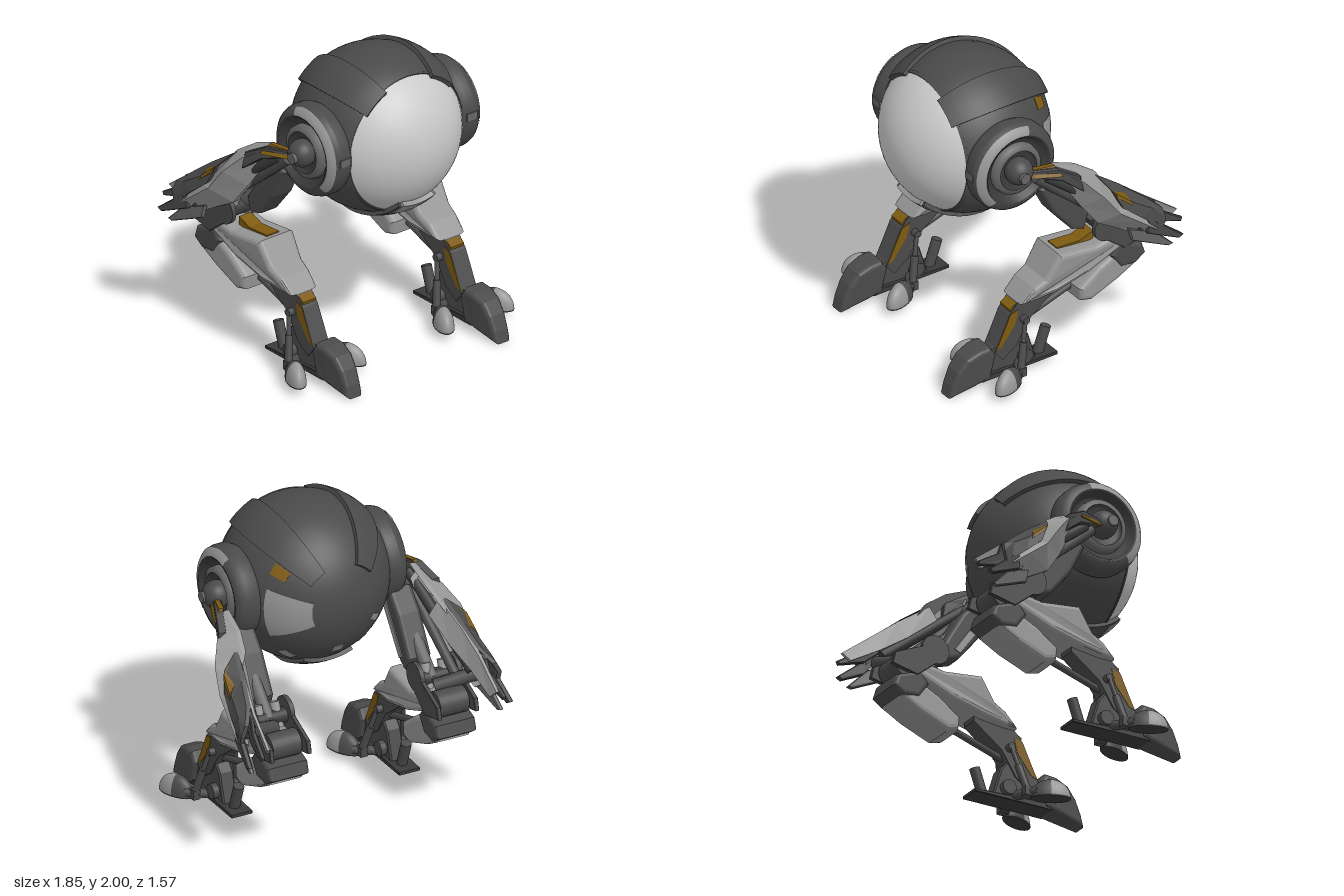
import * as THREE from 'three';

const mat = (name, color) => {
  const m = new THREE.MeshStandardMaterial({ color });
  m.name = name;
  return m;
};
const DARK = mat('dark grey', 0x4a4a4a), DEEP = mat('charcoal', 0x3a3a3a), LIGHT = mat('light grey', 0x969696),
  MID = mat('mid grey', 0x666666), LENS = mat('pale lens', 0xc8c8c8), GOLD = mat('ochre', 0x7d5a10);
const V = (x, y, z) => new THREE.Vector3(x, y, z);
const CX = 0.585; // centre line of a lower leg

function add(group, name, geo, material) {
  const m = new THREE.Mesh(geo, material);
  m.name = name;
  group.add(m);
  return m;
}

function warp(geo, rule) {
  const p = geo.attributes.position, v = V(0, 0, 0);
  for (let i = 0; i < p.count; i++) {
    rule(v.fromBufferAttribute(p, i));
    p.setXYZ(i, v.x, v.y, v.z);
  }
  geo.computeVertexNormals();
  return geo;
}

// Side outline given as [z, y], extruded from x0 to x1
function slab(pts, x0, x1, bevel = 0.01, rule = null) {
  const shape = new THREE.Shape(pts.map(([z, y]) => new THREE.Vector2(-z, y)));
  const geo = new THREE.ExtrudeGeometry(shape, {
    depth: x1 - x0 - 2 * bevel, bevelEnabled: bevel > 0, bevelThickness: bevel,
    bevelSize: bevel, bevelOffset: -bevel, bevelSegments: bevel > 0.02 ? 3 : 1, steps: 1,
  });
  geo.translate(0, 0, x0 + bevel).rotateY(Math.PI / 2);
  return rule ? warp(geo, rule) : geo;
}

// Bent plate: stations run rearwards, each a row of [x, y, z] from top to bottom
function bentPlate(stations, thick) {
  const loops = stations.map(row => [...row, ...row.map(([x, y, z]) => [x - thick, y, z]).reverse()]);
  const n = loops[0].length, h = n / 2, out = [];
  const quad = (a, b, c, d) => out.push(...a, ...b, ...c, ...c, ...b, ...d);
  for (let i = 0; i < loops.length - 1; i++) {
    for (let j = 0; j < n; j++) {
      const k = (j + 1) % n;
      quad(loops[i][j], loops[i][k], loops[i + 1][j], loops[i + 1][k]);
    }
  }
  const first = loops[0], last = loops[loops.length - 1];
  for (let j = 0; j < h - 1; j++) {
    quad(first[j], first[n - 1 - j], first[j + 1], first[n - 2 - j]);
    quad(last[j], last[j + 1], last[n - 1 - j], last[n - 2 - j]);
  }
  const geo = new THREE.BufferGeometry();
  geo.setAttribute('position', new THREE.Float32BufferAttribute(out, 3));
  geo.computeVertexNormals();
  return geo;
}

// Round bar between two points
function rod(a, b, r0, r1 = r0, sides = 14) {
  const d = b.clone().sub(a);
  const geo = new THREE.CylinderGeometry(r1, r0, d.length(), sides);
  geo.applyQuaternion(new THREE.Quaternion().setFromUnitVectors(V(0, 1, 0), d.normalize()));
  const c = a.clone().add(b).multiplyScalar(0.5);
  return geo.translate(c.x, c.y, c.z);
}
const axle = (x0, x1, y, z, r) => rod(V(x0, y, z), V(x1, y, z), r, r, 24);

// Thick patch of a sphere whose pole points forward; angles in degrees
function patch(p0, p1, t0, t1, r0, r1) {
  const nx = Math.max(2, Math.ceil((p1 - p0) / 6)), ny = Math.max(2, Math.ceil((t1 - t0) / 6));
  const k = Math.PI / 180;
  return warp(new THREE.BoxGeometry(1, 1, 1, nx, ny, 1), v => {
    const p = (p0 + (v.x + 0.5) * (p1 - p0)) * k, t = (t1 - (v.y + 0.5) * (t1 - t0)) * k;
    const r = r0 + (v.z + 0.5) * (r1 - r0);
    v.set(r * Math.sin(t) * Math.cos(p), r * Math.sin(t) * Math.sin(p), r * Math.cos(t));
  });
}

function createBody() {
  const g = new THREE.Group();
  g.name = 'body';
  g.position.set(-0.005, 1.47, 0.255);
  add(g, 'frontLens', new THREE.SphereGeometry(0.528, 64, 40), LENS);
  const shell = new THREE.SphereGeometry(0.531, 64, 36, 0, Math.PI * 2, 1.0, Math.PI - 1.0);
  add(g, 'shell', shell.rotateX(Math.PI / 2), DARK);
  add(g, 'shellRim', patch(0, 360, 57, 59, 0.5, 0.536), DARK);
  // Raised bands over the top
  for (const p of [41, 114]) add(g, 'topBand', patch(p, p + 25, 54, 150, 0.5, 0.557), DARK);
  // Chin plate with its light inset
  add(g, 'chinPlate', patch(-112, -68, 44, 125, 0.5, 0.556), DARK);
  add(g, 'chinInset', patch(-109, -71, 42, 55, 0.52, 0.559), LIGHT);
  // Worn panels
  add(g, 'sidePanel', patch(-26, 18, 124, 157, 0.525, 0.534), LIGHT);
  add(g, 'ochrePanel', patch(30, 40, 122, 134, 0.525, 0.535), GOLD);
  for (const [p, t, w, h] of [[-60, 118, 14, 8], [-98, 138, 13, 8], [-128, 124, 9, 10], [-152, 138, 9, 13]]) {
    add(g, 'wornPatch', patch(p, p + w, t, t + h, 0.525, 0.534), LIGHT);
  }
  return g;
}

function createHip() {
  const g = new THREE.Group();
  g.name = 'hip';
  const lathe = (pts, start = 0, len = Math.PI * 2) => new THREE.LatheGeometry(
    pts.map(([r, x]) => new THREE.Vector2(r, x)), 48, start, len).rotateZ(-Math.PI / 2).translate(0, 1.475, 0.265);
  const ring = (name, pts, m, ...arc) => add(g, name, lathe(pts, ...arc), m);
  // Each band has its own profile so that edges stay crisp
  ring('hipDrum', [[0.25, 0.4], [0.285, 0.44], [0.3, 0.47], [0.3, 0.53]], DARK);
  ring('hipBevel', [[0.3, 0.53], [0.288, 0.565], [0.265, 0.588], [0.24, 0.597]], DARK);
  ring('hipBevelLight', [[0.291, 0.566], [0.267, 0.591], [0.238, 0.6]], LIGHT, -1.9, 2.7);
  ring('hipDish', [[0.24, 0.597], [0.225, 0.595], [0.2, 0.55], [0.175, 0.55]], DEEP);
  ring('hipInnerRing', [[0.175, 0.55], [0.17, 0.59], [0.135, 0.6]], MID);
  ring('hipSocket', [[0.135, 0.6], [0.12, 0.565], [0, 0.565]], DEEP);
  add(g, 'hipBall', new THREE.SphereGeometry(0.09, 28, 18).translate(0.6, 1.475, 0.265), DARK);
  add(g, 'hipPin', axle(0.6, 0.7, 1.47, 0.28, 0.035), MID);
  add(g, 'hipRimBlock', new THREE.BoxGeometry(0.08, 0.05, 0.01).translate(0.5, 1.49, 0.564), MID);
  return g;
}

function createThigh() {
  const g = new THREE.Group();
  g.name = 'thigh';
  // Inner plates and fins sweep outwards to the rear
  const sweep = v => {
    const t = 0.2 - v.z;
    v.x += 0.63 + 0.46 * t - 0.18 * t * t;
  };
  const fin = (name, pts, x0, x1, m) => add(g, name, slab(pts, x0, x1, 0.006, sweep), m);
  const bent = (name, stations, thick, m) => add(g, name, bentPlate(stations, thick), m);
  fin('hipArm', [[0.24, 1.44], [0.2, 1.475], [0.06, 1.475], [-0.08, 1.4], [-0.1, 1.28], [0.03, 1.38]], -0.03, 0.03, DARK);
  bent('hipArmInset', [
    [[0.645, 1.478, 0.21], [0.668, 1.43, 0.215]],
    [[0.69, 1.487, 0.06], [0.745, 1.42, 0.03]]], 0.03, GOLD);
  // Light outer shell, folded along a ridge
  bent('outerShell', [
    [[0.66, 1.475, 0.05], [0.72, 1.44, 0.04], [0.65, 1.39, 0.02]],
    [[0.67, 1.41, -0.12], [0.79, 1.36, -0.09], [0.67, 1.28, -0.03]],
    [[0.7, 1.33, -0.24], [0.86, 1.25, -0.19], [0.72, 1.13, -0.12]],
    [[0.79, 1.17, -0.33], [0.885, 1.1, -0.3], [0.75, 0.99, -0.22]],
    [[0.85, 1.08, -0.44], [0.895, 1.0, -0.43], [0.77, 0.91, -0.36]],
    [[0.87, 0.95, -0.56], [0.905, 0.9, -0.56], [0.82, 0.83, -0.5]]], 0.03, LIGHT);
  bent('rearPlate', [
    [[0.74, 1.33, -0.22], [0.84, 1.25, -0.27], [0.87, 1.12, -0.33]],
    [[0.78, 1.22, -0.38], [0.86, 1.13, -0.41], [0.89, 1.02, -0.45]],
    [[0.82, 1.11, -0.52], [0.885, 1.05, -0.54], [0.9, 0.93, -0.56]],
    [[0.88, 1.03, -0.61], [0.91, 0.97, -0.62], [0.91, 0.9, -0.6]]], 0.03, DARK);
  bent('ochreInset', [
    [[0.804, 1.274, -0.262], [0.849, 1.238, -0.284], [0.858, 1.2, -0.3]],
    [[0.826, 1.188, -0.374], [0.864, 1.148, -0.389], [0.873, 1.114, -0.402]]], 0.009, GOLD);
  // Light lining on the inner side
  bent('innerLining', [
    [[0.72, 1.33, -0.2], [0.66, 1.22, -0.18]],
    [[0.77, 1.2, -0.4], [0.71, 1.08, -0.36]],
    [[0.8, 1.08, -0.56], [0.76, 0.98, -0.52]],
    [[0.81, 0.92, -0.77], [0.79, 0.87, -0.72]]], 0.02, LIGHT);
  fin('upperFin', [[-0.5, 1.1], [-0.59, 1.06], [-0.62, 0.98], [-0.78, 0.88], [-0.77, 0.855], [-0.6, 0.9], [-0.5, 0.98]], -0.08, -0.05, DARK);
  fin('middleFin', [[-0.5, 1.0], [-0.6, 0.92], [-0.74, 0.81], [-0.71, 0.79], [-0.5, 0.88]], -0.01, 0.025, DARK);
  fin('lowerFin', [[-0.4, 0.92], [-0.56, 0.87], [-0.69, 0.74], [-0.66, 0.73], [-0.42, 0.83]], -0.04, -0.01, MID);
  // Inner thigh and its struts
  add(g, 'innerThigh', slab([[0.12, 1.28], [0.02, 1.35], [-0.1, 1.22], [-0.24, 0.98], [-0.21, 0.88], [-0.12, 0.91], [0.02, 1.08]],
    0.47, 0.63, 0.025), DARK);
  add(g, 'innerThighStrip', slab([[0.1, 1.24], [0.05, 1.26], [-0.16, 0.96], [-0.12, 0.94]], 0.464, 0.5, 0.002), LIGHT);
  add(g, 'thighStrut', rod(V(0.63, 1.4, 0.16), V(0.7, 0.9, -0.42), 0.035, 0.03), DARK);
  add(g, 'thighStrut', rod(V(0.65, 1.4, 0.1), V(0.77, 0.95, -0.5), 0.035), DEEP);
  add(g, 'thighPiston', rod(V(0.56, 1.3, 0.1), V(0.57, 0.88, -0.35), 0.045, 0.04), MID);
  add(g, 'kneeLink', rod(V(0.84, 0.93, -0.5), V(0.56, 0.85, -0.4), 0.045), DARK);
  return g;
}

function createShin() {
  const g = new THREE.Group();
  g.name = 'shin';
  const taper = v => { v.x = CX + v.x * (1 - 0.85 * Math.max(0, v.z)); };
  // Knee discs
  for (const s of [-1, 1]) {
    add(g, 'kneeDisc', axle(CX + s * 0.115, CX + s * 0.145, 0.9, -0.32, 0.095), DARK);
    add(g, 'kneeCylinder', rod(V(CX + s * 0.06, 0.97, -0.3), V(CX + s * 0.06, 0.82, -0.36), 0.032), LIGHT);
    add(g, 'kneeRail', slab([[-0.25, 0.86], [-0.38, 0.92], [-0.61, 0.82], [-0.63, 0.74], [-0.45, 0.7]],
      CX + s * 0.13 - 0.015, CX + s * 0.13 + 0.015, 0.004), DARK);
  }
  add(g, 'kneeAxle', axle(CX - 0.13, CX + 0.13, 0.88, -0.33, 0.05), DEEP);
  add(g, 'rearKnee', axle(CX - 0.1, CX + 0.1, 0.78, -0.5, 0.085), DARK);
  // Main shell, narrowing towards the ankle
  add(g, 'shinShell', slab([[0.02, 0.81], [-0.25, 0.78], [-0.45, 0.82], [-0.55, 0.78], [-0.42, 0.7], [-0.2, 0.61],
    [0.04, 0.55], [0.2, 0.53], [0.29, 0.53], [0.2, 0.62], [0.12, 0.66]], -0.14, 0.14, 0.03, taper), LIGHT);
  add(g, 'shinInset', slab([[-0.01, 0.815], [-0.18, 0.803], [-0.28, 0.84], [-0.28, 0.78], [-0.18, 0.78], [-0.01, 0.79]],
    CX - 0.05, CX + 0.05, 0.002), GOLD);
  // Calf pod, light below and dark behind
  add(g, 'calfPod', slab([[-0.13, 0.5], [-0.28, 0.61], [-0.4, 0.67], [-0.47, 0.6], [-0.56, 0.55], [-0.42, 0.47], [-0.22, 0.39], [-0.14, 0.41]],
    CX - 0.13, CX + 0.13, 0.035), LIGHT);
  add(g, 'calfCap', slab([[-0.36, 0.66], [-0.42, 0.74], [-0.59, 0.68], [-0.615, 0.6], [-0.54, 0.55], [-0.43, 0.56]],
    CX - 0.14, CX + 0.14, 0.025), DARK);
  add(g, 'calfRod', rod(V(CX, 0.34, 0.26), V(CX, 0.49, -0.2), 0.022), DARK);
  // Lower shin
  add(g, 'lowerShin', slab([[0.29, 0.53], [0.35, 0.46], [0.46, 0.22], [0.4, 0.15], [0.3, 0.22], [0.2, 0.38], [0.0, 0.53], [0.0, 0.6], [0.2, 0.58]],
    CX - 0.06, CX + 0.06, 0), DARK);
  const strip = [[0.285, 0.48], [0.345, 0.46], [0.452, 0.235], [0.41, 0.25], [0.31, 0.38]];
  for (const s of [-1, 1]) add(g, 'shinStrip', slab(strip, CX + s * 0.06 - 0.003, CX + s * 0.06 + 0.003, 0), GOLD);
  add(g, 'shinCap', slab([[0.285, 0.53], [0.345, 0.495], [0.34, 0.475], [0.285, 0.48]], CX - 0.052, CX + 0.052, 0), GOLD);
  add(g, 'shinCrossPin', axle(CX - 0.1, CX + 0.1, 0.4, 0.25, 0.025), DARK);
  return g;
}

function createFoot() {
  const g = new THREE.Group();
  g.name = 'foot';
  const narrow = v => { v.x = CX + v.x * (1 - 1.4 * Math.max(0, v.z - 0.56)); };
  add(g, 'toe', slab([[0.79, 0], [0.77, 0.08], [0.73, 0.17], [0.67, 0.245], [0.58, 0.28], [0.5, 0.285], [0.46, 0.22], [0.5, 0.06], [0.6, 0.04]],
    -0.085, 0.085, 0.03, narrow), DARK);
  add(g, 'sole', slab([[0.56, 0.05], [0.0, 0.05], [0.0, 0.07], [0.5, 0.09]], CX - 0.075, CX + 0.075, 0.004), DEEP);
  add(g, 'ankle', slab([[0.5, 0.2], [0.36, 0.33], [0.28, 0.35], [0.2, 0.26], [0.14, 0.06], [0.48, 0.06]], CX - 0.05, CX + 0.05, 0.01), DARK);
  add(g, 'anklePin', axle(CX - 0.09, CX + 0.09, 0.13, 0.24, 0.048), DARK);
  add(g, 'heelPost', rod(V(CX, 0.065, 0.1), V(CX, 0.24, 0.04), 0.034), DARK);
  for (const s of [-1, 1]) {
    // Half-domed side pads, light in front and dark behind
    [LIGHT, DARK].forEach((m, i) => add(g, 'sidePad', new THREE.SphereGeometry(1, 20, 10, i * Math.PI, Math.PI, 0, Math.PI / 2)
      .scale(0.062, 0.12, 0.125).rotateY(s * 0.45).translate(CX + s * 0.205, 0.06, 0.46), m));
    add(g, 'padBase', new THREE.CylinderGeometry(1, 1, 0.01, 20).scale(0.062, 1, 0.125)
      .rotateY(s * 0.45).translate(CX + s * 0.205, 0.056, 0.46), DEEP);
    add(g, 'padArm', rod(V(CX + s * 0.03, 0.09, 0.26), V(CX + s * 0.19, 0.09, 0.38), 0.03), DARK);
    add(g, 'ankleStrut', rod(V(CX + s * 0.085, 0.41, 0.25), V(CX + s * 0.145, 0.13, 0.32), 0.015), DARK);
    add(g, 'strutSleeve', rod(V(CX + s * 0.115, 0.27, 0.285), V(CX + s * 0.15, 0.11, 0.325), 0.025), DARK);
    add(g, 'strutFoot', new THREE.BoxGeometry(0.05, 0.06, 0.06).translate(CX + s * 0.15, 0.09, 0.33), DARK);
  }
  return g;
}

export function createModel() {
  const model = new THREE.Group();
  model.name = 'walker';
  model.add(createBody());
  for (const s of [1, -1]) {
    const leg = new THREE.Group();
    leg.name = s > 0 ? 'leftLeg' : 'rightLeg';
    const shin = createShin(), foot = createFoot();
    // The lower legs stand slightly to the right of the body
    shin.position.x = foot.position.x = -0.02 * s;
    leg.add(createHip(), createThigh(), shin, foot);
    leg.scale.x = s;
    model.add(leg);
  }
  return model;
}
